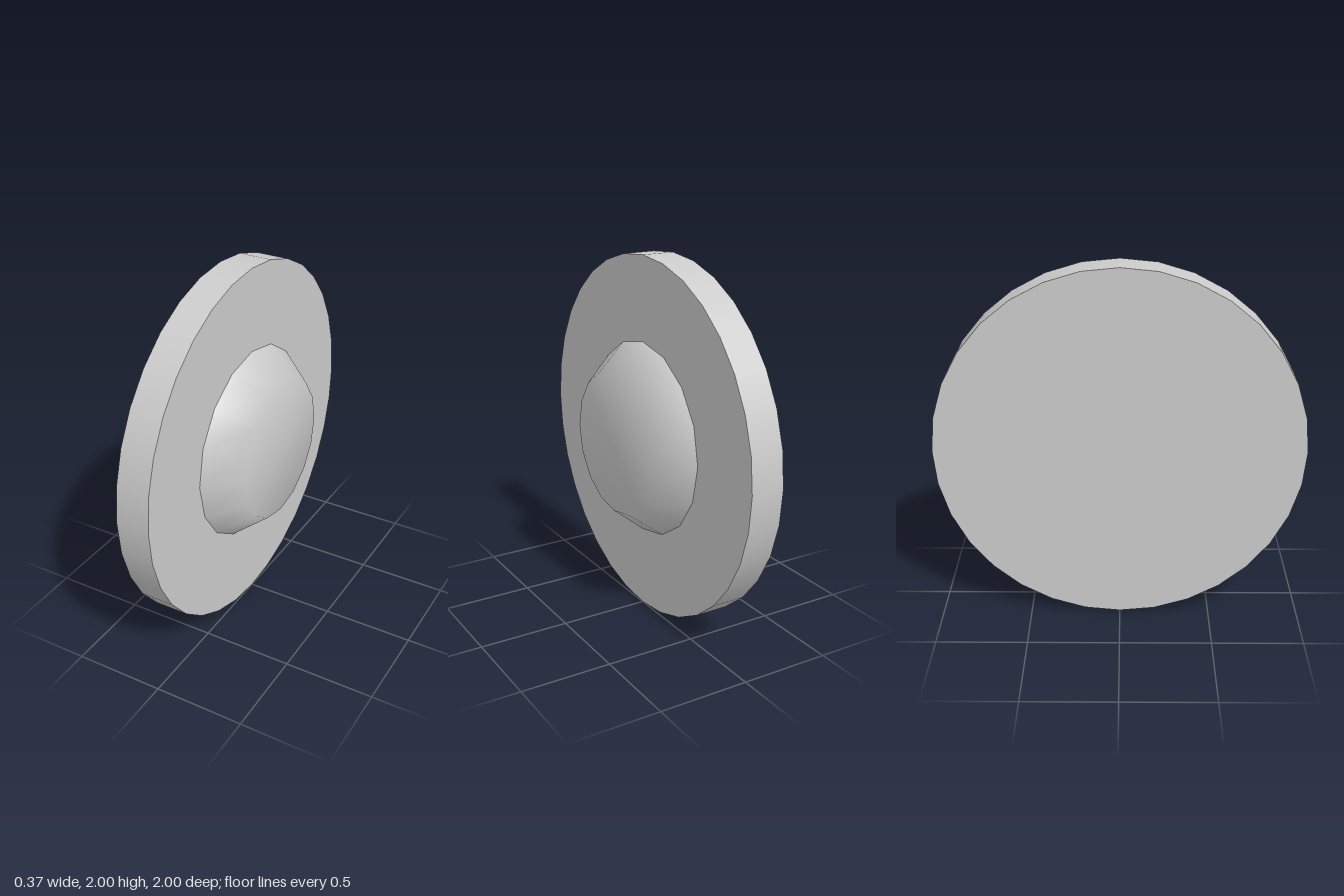
import * as THREE from 'three';

export function createModel() {
  const group = new THREE.Group();
  const material = new THREE.MeshStandardMaterial({ color: 0xcccccc });

  // Parts are turned about y, then tipped so their axis runs along +x
  const addPart = (name, geometry, x) => {
    geometry.rotateZ(-Math.PI / 2);
    const mesh = new THREE.Mesh(geometry, material);
    mesh.name = name;
    mesh.position.set(x, 1, 0);
    group.add(mesh);
  };

  // Flat round plate
  const thickness = 0.185;
  addPart('disc', new THREE.CylinderGeometry(1, 1, thickness, 32), -thickness / 2);

  // Tapered hub with softly shaded rim
  const hubProfile = [[0.54, 0], [0.39, 0.185], [0, 0.185]]
    .map(([r, h]) => new THREE.Vector2(r, h));
  addPart('hub', new THREE.LatheGeometry(hubProfile, 16), 0);

  return group;
}
